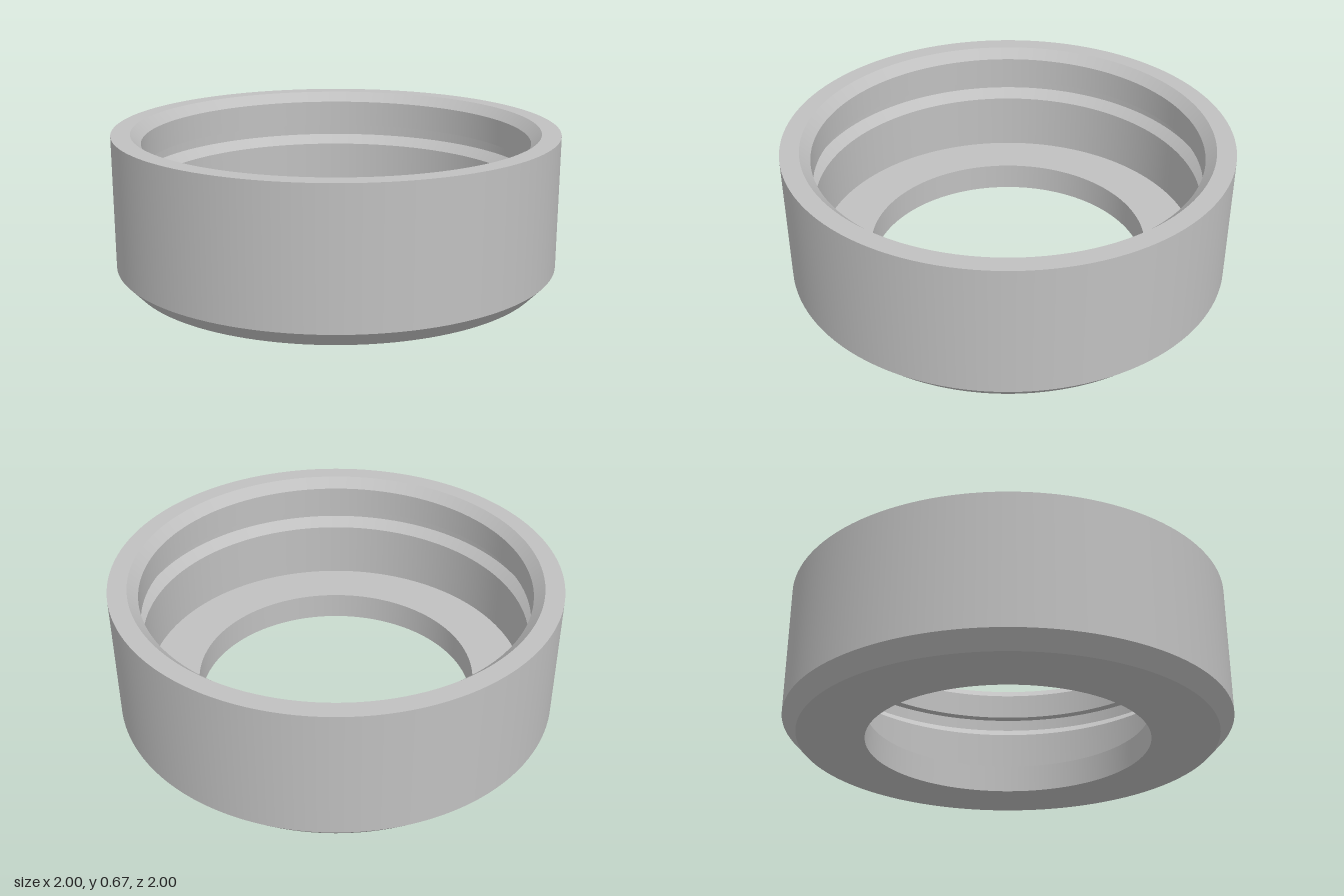
import * as THREE from 'three';
import { mergeGeometries } from 'three/addons/utils/BufferGeometryUtils.js';

// One lathe band per profile edge keeps the edges sharp and the walls smooth.
function turned(profile, segments = 128) {
  const bands = [];
  for (let i = 0; i < profile.length - 1; i++) {
    const ends = [profile[i], profile[i + 1]].map(([r, y]) => new THREE.Vector2(r, y));
    bands.push(new THREE.LatheGeometry(ends, segments));
  }
  return mergeGeometries(bands);
}

export function createModel() {
  const group = new THREE.Group();
  group.name = 'threadedCollar';

  const grey = new THREE.MeshStandardMaterial({ color: 0xc0c0c0 });
  grey.name = 'plain grey';

  const profile = [
    // underside, bottom chamfer and outer wall
    [0.636, 0], [0.936, 0], [1, 0.068], [1, 0.665],
    // top rim and its inner chamfer
    [0.915, 0.665], [0.87, 0.62],
    // lip, undercut groove and sloped ledge
    [0.87, 0.495], [0.914, 0.495], [0.914, 0.438], [0.87, 0.395],
    // lower bore, floor and central hole
    [0.87, 0.13], [0.636, 0.13], [0.636, 0],
  ];
  const ring = new THREE.Mesh(turned(profile), grey);
  ring.name = 'groovedRing';
  group.add(ring);

  return group;
}
